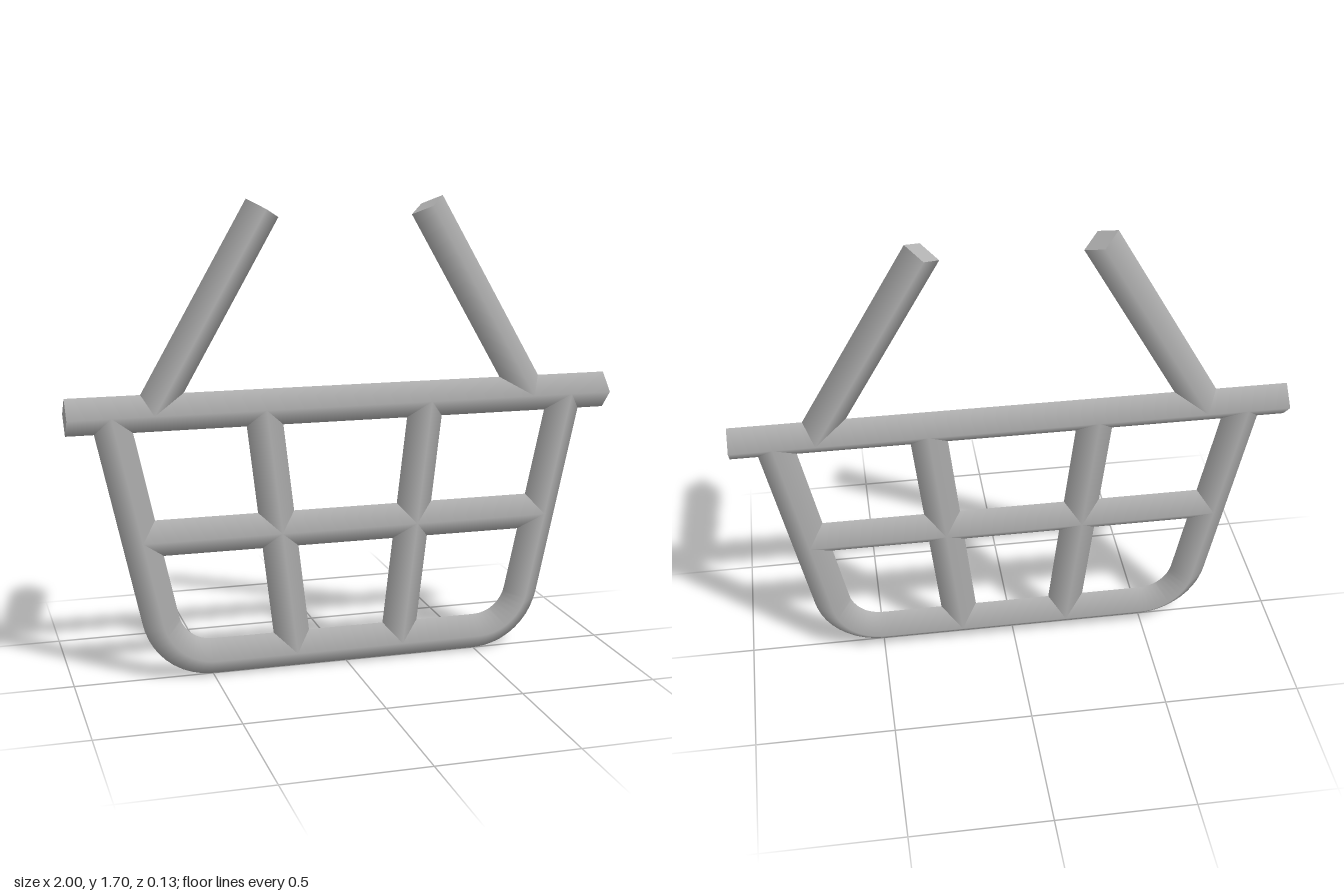
import * as THREE from 'three';

const R = 0.066;

export function createModel() {
  const model = new THREE.Group();
  model.name = 'basket';
  const grey = new THREE.MeshStandardMaterial({ color: 0xb4b4b4 });
  grey.name = 'grey';

  const add = (name, geometry) => {
    const mesh = new THREE.Mesh(geometry, grey);
    mesh.name = name;
    model.add(mesh);
    return mesh;
  };

  // Four-sided, smooth-shaded rod between two points in the XY plane
  const rod = (name, x1, y1, x2, y2) => {
    const dx = x2 - x1, dy = y2 - y1;
    const mesh = add(name, new THREE.CylinderGeometry(R, R, Math.hypot(dx, dy), 4));
    mesh.position.set((x1 + x2) / 2, (y1 + y2) / 2, 0);
    mesh.rotation.z = Math.atan2(-dx, dy);
  };

  // Horizontal bars
  rod('rim', -1, 0.97, 1, 0.97);
  rod('middleBar', -0.755, 0.52, 0.755, 0.52);

  // Mirrored uprights and slanted handles
  for (const [side, s] of [['left', 1], ['right', -1]]) {
    rod(side + 'Upright', s * 0.2, 0.068, s * 0.305, 0.97);
    rod(side + 'Handle', s * 0.7, 0.97, s * 0.3, 1.668);
  }

  // U-shaped outer frame with rounded bottom corners
  const v = (x, y) => new THREE.Vector3(x, y, 0);
  const cornerR = 0.19, cx = 0.5, cy = R + cornerR, tilt = 0.205;
  const corner = (s) => {
    const points = [];
    for (let i = 0; i <= 12; i++) {
      const a = (-Math.PI / 2) + (i / 12) * (Math.PI / 2 - tilt);
      points.push(v(s * (cx + cornerR * Math.cos(a)), cy + cornerR * Math.sin(a)));
    }
    return points;
  };
  const points = [v(-0.848, 0.97), ...corner(-1).reverse(), ...corner(1), v(0.848, 0.97)];
  const path = new THREE.CurvePath();
  for (let i = 1; i < points.length; i++) path.add(new THREE.LineCurve3(points[i - 1], points[i]));
  add('outerFrame', new THREE.TubeGeometry(path, 120, R, 4, false));

  return model;
}
